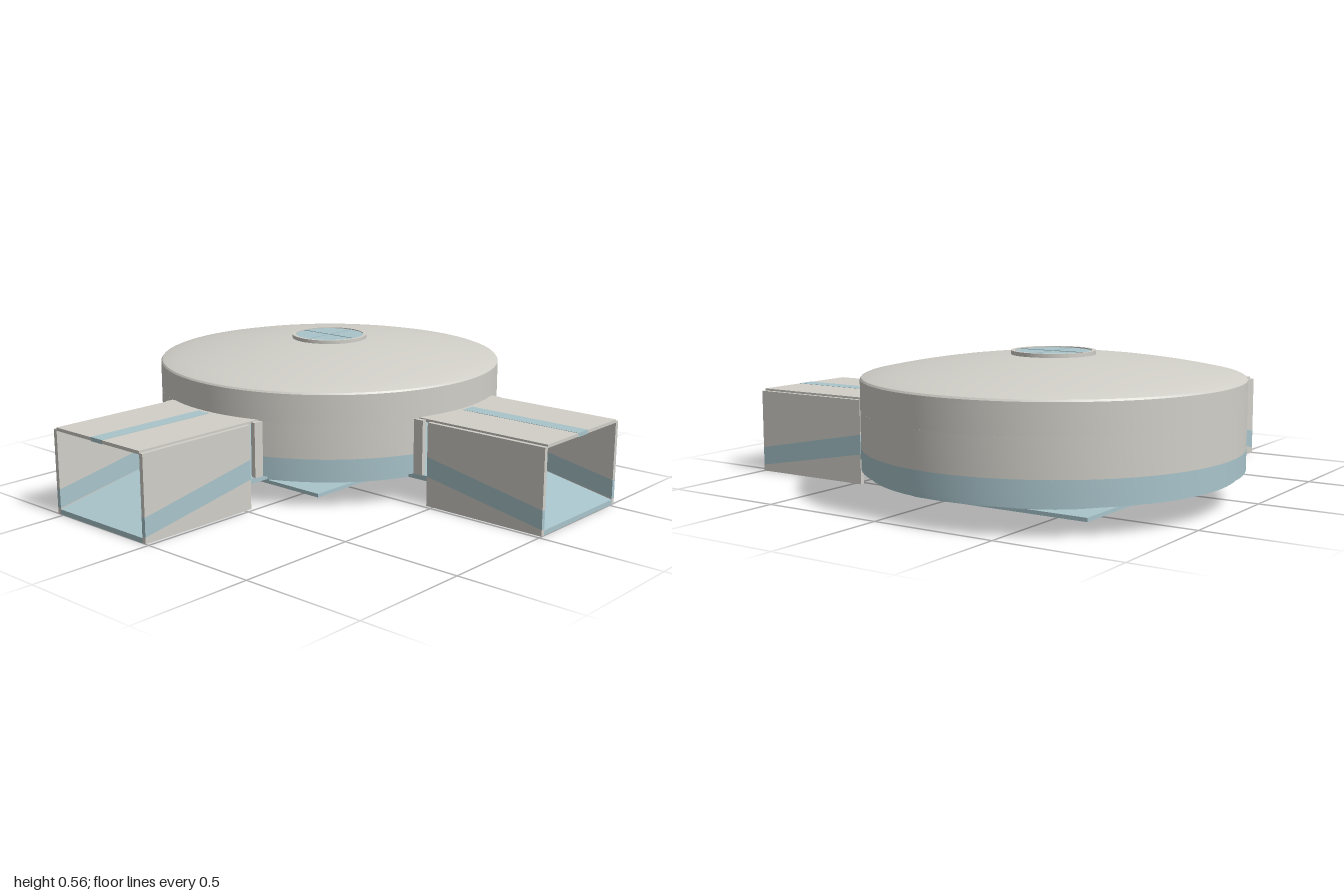
import * as THREE from 'three';
import { toCreasedNormals } from 'three/addons/utils/BufferGeometryUtils.js';

const hull = new THREE.MeshStandardMaterial({ color: 0xd1cfc8, side: THREE.DoubleSide });
const blue = new THREE.MeshStandardMaterial({ color: 0xa8c4cb, side: THREE.DoubleSide });

const R = 0.726;            // outer radius of the round hall
const CENTRE = -0.274;      // hall centre in x and z
const DOOR = 0.355;         // half angle of each doorway

function add(parent, name, geometry, material) {
  const mesh = new THREE.Mesh(geometry, material);
  mesh.name = name;
  parent.add(mesh);
  return mesh;
}

// Box given by its lower and upper corners
function box(parent, name, material, [x0, y0, z0], [x1, y1, z1]) {
  const g = new THREE.BoxGeometry(x1 - x0, y1 - y0, z1 - z0);
  g.translate((x0 + x1) / 2, (y0 + y1) / 2, (z0 + z1) / 2);
  return add(parent, name, g, material);
}

// Turned part from [radius, height] points, with sharp edges kept
function turned(parent, name, material, points, start = 0, length = Math.PI * 2) {
  const segments = Math.max(12, Math.round(96 * length / (Math.PI * 2)));
  const g = new THREE.LatheGeometry(points.map(p => new THREE.Vector2(...p)), segments, start, length);
  return add(parent, name, toCreasedNormals(g, 0.5), material);
}

// Closed ring profile between two radii and two heights
const ring = (r0, r1, y0, y1) => [[r0, y0], [r1, y0], [r1, y1], [r0, y1], [r0, y0]];

// Slab drawn in the z-y plane and given thickness along x
function sideSlab(parent, name, material, points, x, thickness) {
  const shape = new THREE.Shape(points.map(([z, y]) => new THREE.Vector2(-z, y)));
  const g = new THREE.ExtrudeGeometry(shape, { depth: thickness, bevelEnabled: false });
  g.rotateY(Math.PI / 2);
  g.translate(x, 0, 0);
  return add(parent, name, g, material);
}

function createHall() {
  const hall = new THREE.Group();
  hall.name = 'roundHall';

  // Floor disc
  turned(hall, 'floor', blue, [[0, 0.1], [0.7, 0.1], [0.7, 0.121], [0, 0.121]]);

  // Walls, leaving doorways towards +z and +x
  const spans = [
    [DOOR, Math.PI / 2 - 2 * DOOR],
    [Math.PI / 2 + DOOR, Math.PI * 1.5 - 2 * DOOR],
  ];
  for (const [start, length] of spans) {
    turned(hall, 'wallBand', blue, ring(R - 0.03, R, 0.12, 0.2), start, length);
    turned(hall, 'wall', hull, ring(R - 0.03, R, 0.2, 0.34), start, length);
  }
  turned(hall, 'upperWall', hull, ring(R - 0.03, R, 0.34, 0.448));

  // Shallow domed roof with a rounded rim
  const dome = [[R - 0.03, 0.44], [R, 0.445], [R, 0.456], [R - 0.005, 0.463], [R - 0.015, 0.467]];
  for (let i = 1; i <= 10; i++) {
    const r = (R - 0.015) * (1 - i / 10);
    dome.push([r, 0.545 - 0.078 * (r / (R - 0.015)) ** 2]);
  }
  turned(hall, 'domedRoof', hull, dome);

  // Round skylight with crossed bars
  turned(hall, 'skylightRing', hull, ring(0.145, 0.16, 0.53, 0.556));
  turned(hall, 'skylight', blue, [[0.146, 0.53], [0.146, 0.552], [0, 0.552]]);
  for (const a of [0, Math.PI / 2]) {
    const bar = add(hall, 'skylightBar', new THREE.BoxGeometry(0.29, 0.004, 0.005), blue);
    bar.position.y = 0.552;
    bar.rotation.y = a;
  }

  // Low platform inside
  box(hall, 'platform', hull, [-0.42, 0.135, -0.42], [-0.085, 0.152, -0.085]);

  // Plinth under the hall with its base plate and front block
  turned(hall, 'plinth', blue, [[0, 0.025], [0.39, 0.025], [0.39, 0.1], [0, 0.1]]);
  box(hall, 'plinthBlock', blue, [-0.11, 0.025, 0.2], [0.11, 0.1, 0.495]);
  box(hall, 'basePlate', blue, [-0.376, 0.012, -0.372], [0.38, 0.027, 0.49]);
  return hall;
}

// Entrance tunnel running outwards along local +z
function createTunnel() {
  const tunnel = new THREE.Group();
  tunnel.name = 'entranceTunnel';
  const z0 = 0.742, z1 = 1.274, half = 0.258, t = 0.017;

  for (const s of [-1, 1]) {
    // Side wall in three layers, the middle one a sloping stripe
    const x = s > 0 ? half - t : -half;
    sideSlab(tunnel, 'lowerSideWall', hull, [[z0, 0], [z1, 0], [z1, 0.025], [z0, 0.12]], x, t);
    sideSlab(tunnel, 'sideStripe', blue, [[z0, 0.12], [z1, 0.025], [z1, 0.1], [z0, 0.2]], x, t);
    sideSlab(tunnel, 'upperSideWall', hull, [[z0, 0.2], [z1, 0.1], [z1, 0.338], [z0, 0.338]], x, t);

    // Roof half and door jamb
    const inner = s * 0.033, outer = s * (half - t);
    box(tunnel, 'roofHalf', hull, [Math.min(inner, outer), 0.333, 0.66],
      [Math.max(inner, outer), 0.346, z1]);
    box(tunnel, 'doorJamb', hull, [s > 0 ? half - t : -half - 0.003, 0.12, 0.655],
      [s > 0 ? half + 0.003 : -half + t, 0.342, 0.72]);
  }

  // Stripe along the roof, sloping floor and threshold
  box(tunnel, 'roofStripe', blue, [-0.033, 0.331, z0], [0.033, 0.347, z1]);
  box(tunnel, 'roofJoint', hull, [-0.033, 0.333, 0.66], [0.033, 0.346, z0]);
  const f = half - t;
  sideSlab(tunnel, 'slopingFloor', blue, [[z0, 0.1], [z1, 0], [z1, 0.02], [z0, 0.12]], -f, 2 * f);
  box(tunnel, 'threshold', blue, [-half, 0.101, 0.62], [half, 0.122, z0]);
  return tunnel;
}

export function createModel() {
  const model = new THREE.Group();
  model.name = 'roundHallWithTunnels';
  const building = new THREE.Group();
  building.name = 'building';
  building.position.set(CENTRE, 0, CENTRE);
  building.add(createHall());
  for (const angle of [0, Math.PI / 2]) {
    const tunnel = createTunnel();
    tunnel.rotation.y = angle;
    building.add(tunnel);
  }
  model.add(building);
  return model;
}
